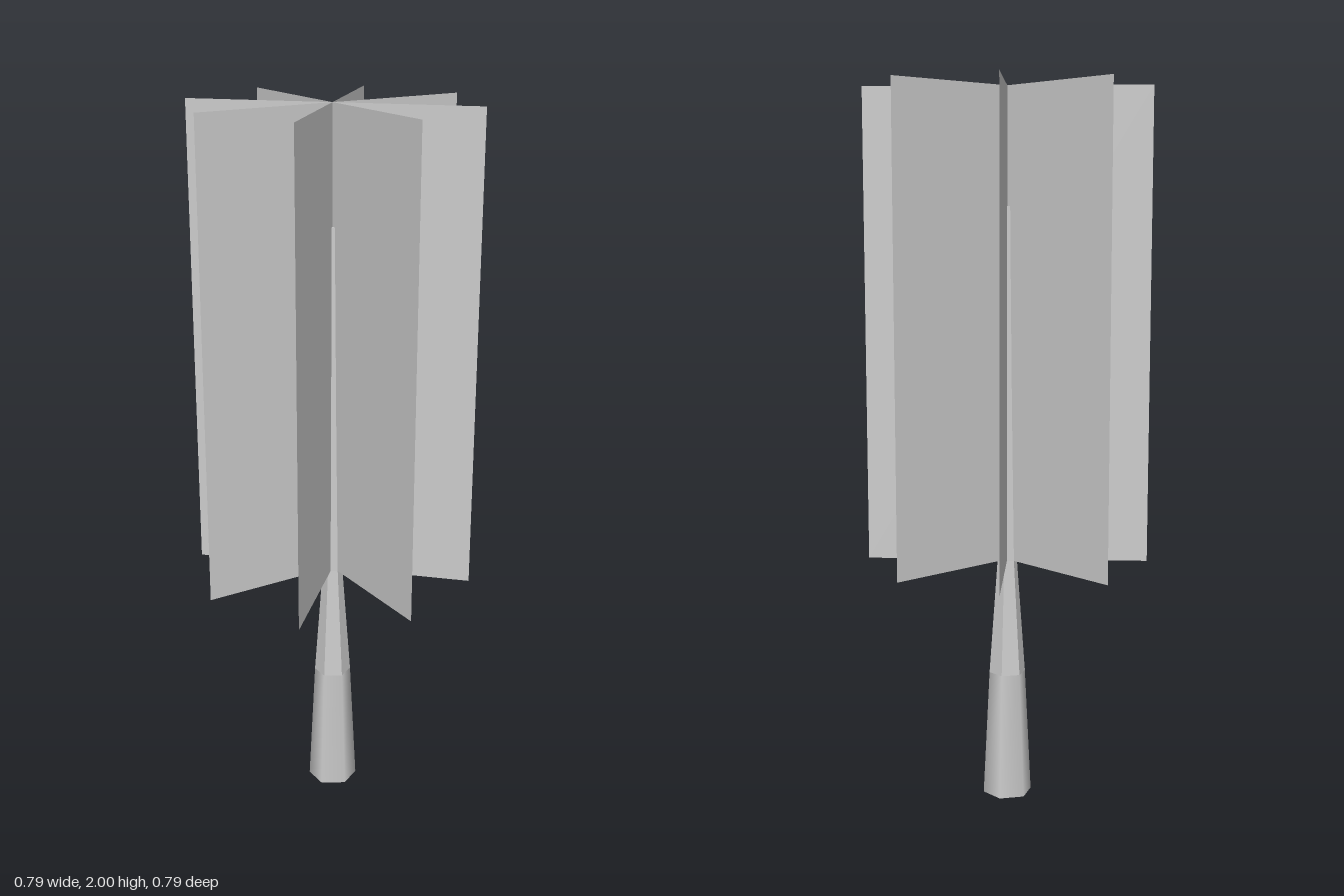
import * as THREE from 'three';

export function createModel() {
  const group = new THREE.Group();
  group.name = 'tree';
  const smooth = new THREE.MeshStandardMaterial({ color: 0xcccccc });
  const faceted = new THREE.MeshStandardMaterial({ color: 0xcccccc, flatShading: true });
  const thin = new THREE.MeshStandardMaterial({ color: 0xcccccc, side: THREE.DoubleSide });

  const add = (name, geometry, material, y) => {
    const mesh = new THREE.Mesh(geometry, material);
    mesh.name = name;
    mesh.position.y = y;
    group.add(mesh);
    return mesh;
  };

  // Six-sided tapering trunk: [height, radius] rings, rounded shading at the foot
  const rings = [[0, 0.07], [0.36, 0.052], [0.69, 0.028], [1.15, 0.019], [1.5, 0.014], [1.68, 0.012]];
  for (let i = 0; i < rings.length - 1; i++) {
    const [y0, r0] = rings[i];
    const [y1, r1] = rings[i + 1];
    add(`trunkSection${i + 1}`, new THREE.CylinderGeometry(r1, r0, y1 - y0, 6, 1, true),
      i === 0 ? smooth : faceted, (y0 + y1) / 2);
  }

  // Trunk end caps
  add('trunkBase', new THREE.CircleGeometry(0.07, 6, Math.PI / 2).rotateX(Math.PI / 2), faceted, 0);
  add('trunkTip', new THREE.CircleGeometry(0.012, 6, Math.PI / 2).rotateX(-Math.PI / 2), faceted, 1.68);

  // Four crossed foliage planes
  const bottom = 0.69, top = 2, width = 0.79;
  for (let i = 0; i < 4; i++) {
    const plane = add(`foliagePlane${i + 1}`, new THREE.PlaneGeometry(width, top - bottom), thin, (bottom + top) / 2);
    plane.rotation.y = i * Math.PI / 4;
  }
  return group;
}
